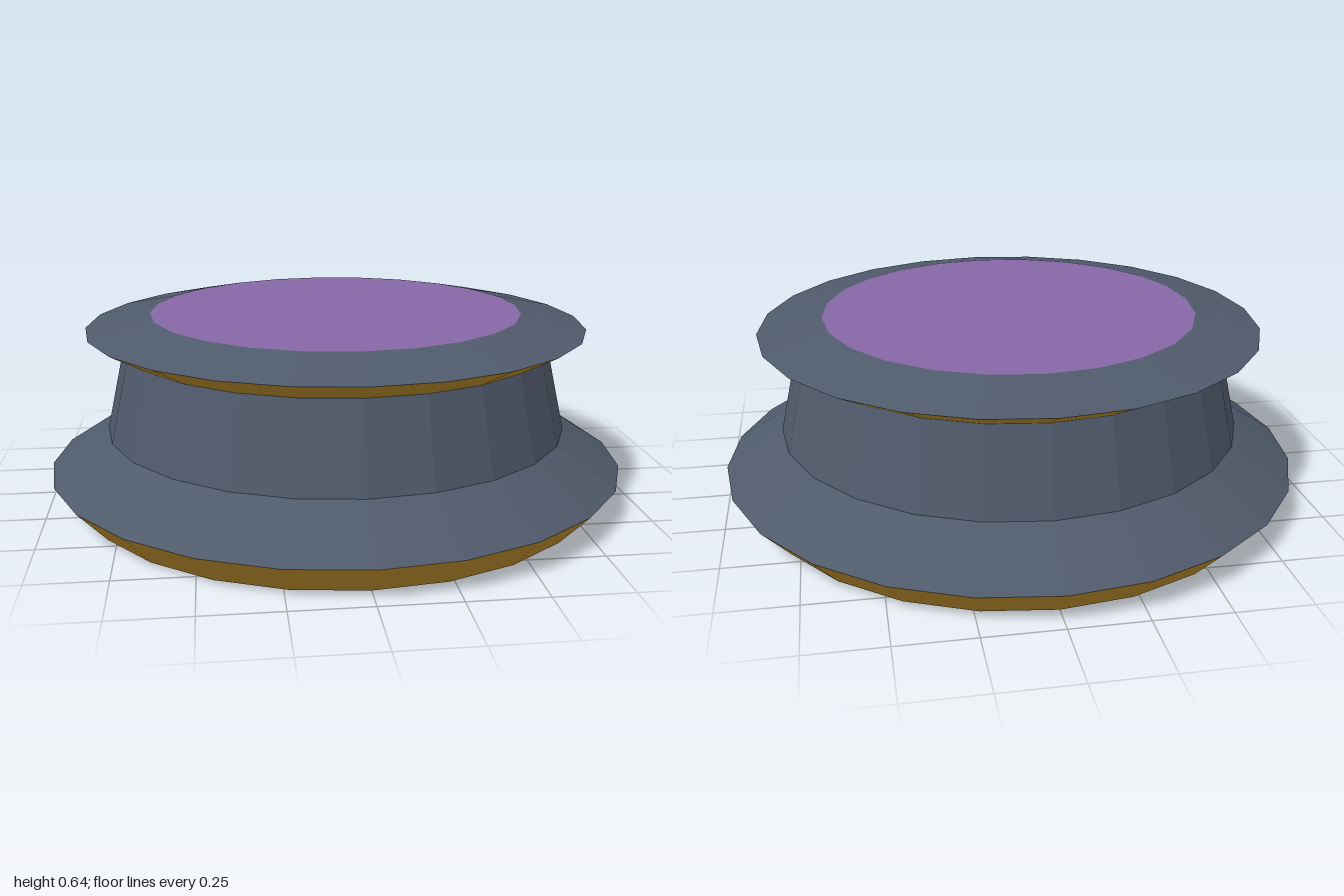
import * as THREE from 'three';

const SIDES = 24;

function material(color) {
  return new THREE.MeshStandardMaterial({ color, flatShading: true, side: THREE.DoubleSide });
}

export function createModel() {
  const model = new THREE.Group();
  model.name = 'pedestal';
  const slate = material(0x4f5a6b);
  const gold = material(0xb8892a);
  const purple = material(0x8668a6);

  // Open, thin-walled bands stacked bottom to top: [radius, height] profiles
  const bands = [
    ['baseTrim', gold, [[0.9, 0], [1, 0.11]]],
    ['body', slate, [[1, 0.11], [0.8, 0.24], [0.735, 0.525]]],
    ['upperTrim', gold, [[0.735, 0.525], [0.86, 0.593]]],
    ['topRim', slate, [[0.86, 0.593], [0.64, 0.64]]],
  ];
  for (const [name, mat, profile] of bands) {
    const points = profile.map(([r, y]) => new THREE.Vector2(r, y));
    const mesh = new THREE.Mesh(new THREE.LatheGeometry(points, SIDES), mat);
    mesh.name = name;
    model.add(mesh);
  }

  // Flat disc closing the top
  const disc = new THREE.Mesh(new THREE.CircleGeometry(0.64, SIDES), purple);
  disc.name = 'topDisc';
  disc.rotation.x = -Math.PI / 2;
  disc.position.y = 0.64;
  model.add(disc);

  return model;
}
